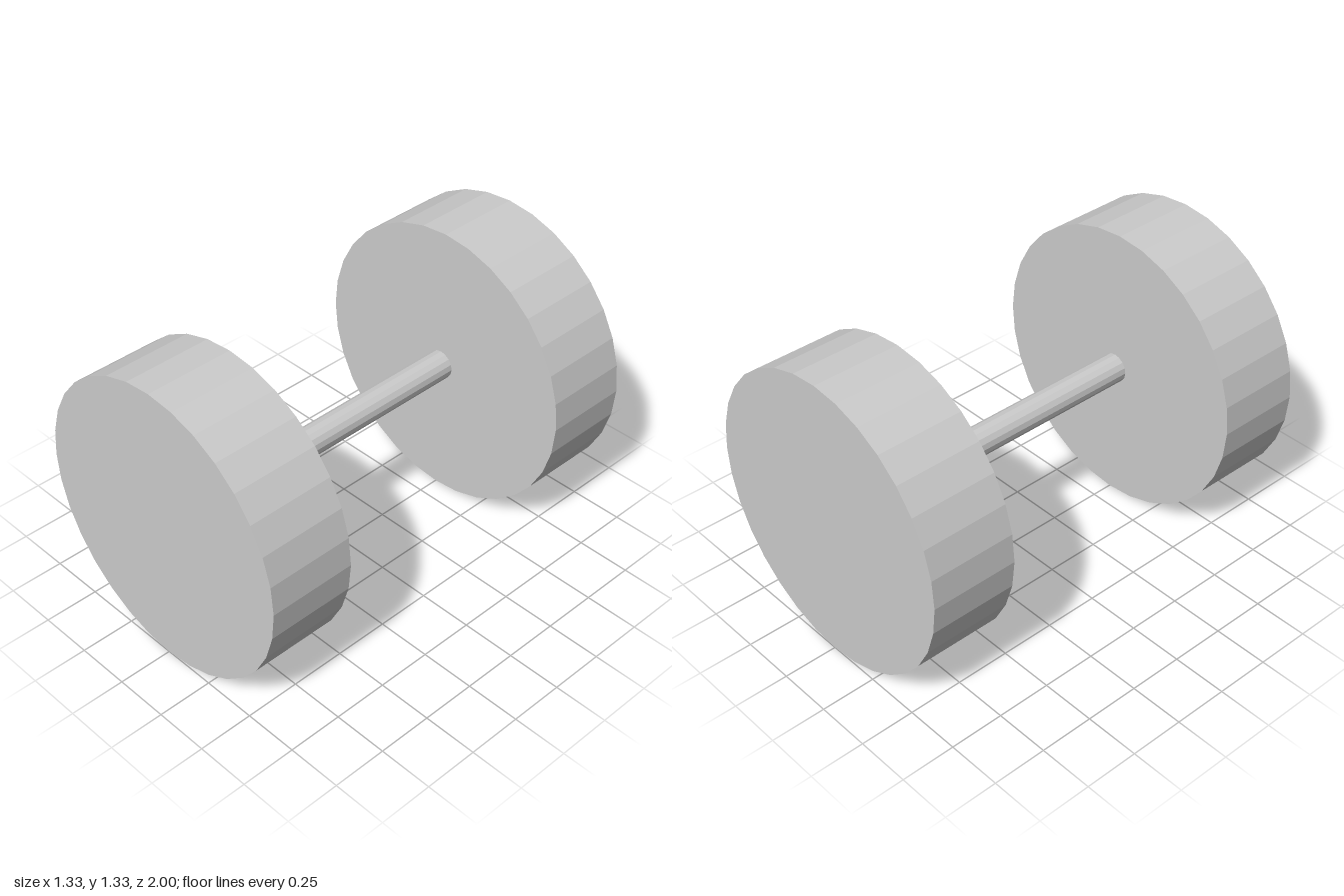
import * as THREE from 'three';

const RADIUS = 0.667;

export function createModel() {
  const group = new THREE.Group();
  group.name = 'dumbbell';
  const material = new THREE.MeshStandardMaterial({ color: 0xcccccc, flatShading: true });

  // Cylinder lying along z at the height of the axis
  const addCylinder = (name, radius, length, sides, z, open = false) => {
    const geometry = new THREE.CylinderGeometry(radius, radius, length, sides, 1, open);
    geometry.rotateX(Math.PI / 2);
    const mesh = new THREE.Mesh(geometry, material);
    mesh.name = name;
    mesh.position.set(0, RADIUS, z);
    group.add(mesh);
  };

  // Weights at both ends
  addCylinder('frontWeight', RADIUS, 0.4, 32, 0.8);
  addCylinder('backWeight', RADIUS, 0.4, 32, -0.8);

  // Handle between the weights
  addCylinder('handle', 0.067, 1.2, 16, 0, true);

  return group;
}
